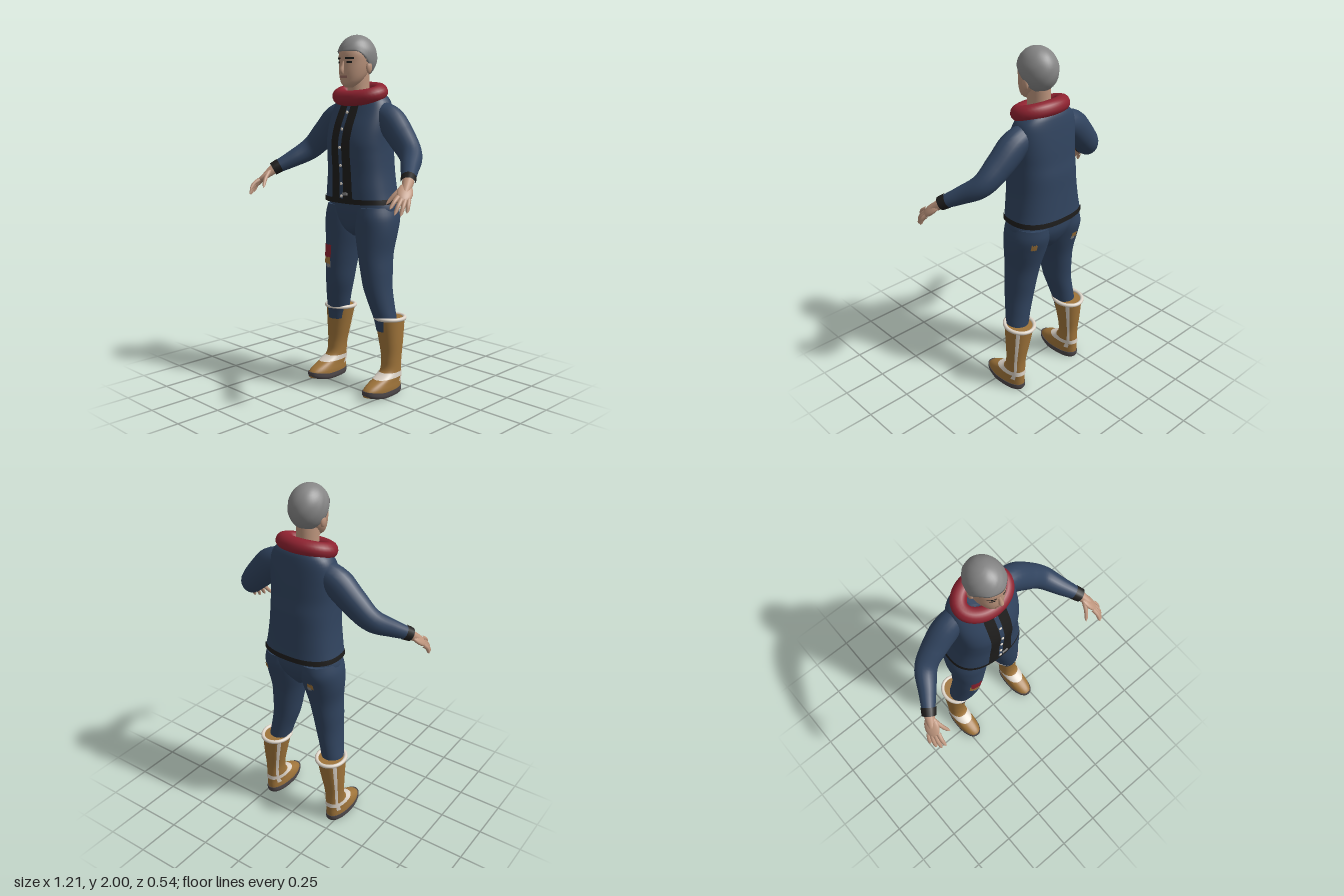
import * as THREE from 'three';

const paint = (name, color) => Object.assign(new THREE.MeshStandardMaterial({ color }), { name });
const V = (x, y, z) => new THREE.Vector3(x, y, z);
const PI = Math.PI;

// Smoothly interpolated section [y, centreX, halfWidth, zFront, zBack] at height y
function section(rings, y) {
  let i = 0;
  while (i < rings.length - 2 && y > rings[i + 1][0]) i++;
  const a = rings[i], b = rings[i + 1], h = b[0] - a[0];
  const t = Math.min(1, Math.max(0, (y - a[0]) / h));
  const p = rings[i - 1] || a, n = rings[i + 2] || b;
  return [1, 2, 3, 4].map(k => {
    const m0 = (b[k] - p[k]) / (b[0] - p[0]) * h, m1 = (n[k] - a[k]) / (n[0] - a[0]) * h;
    const t2 = t * t, t3 = t2 * t;
    return (2 * t3 - 3 * t2 + 1) * a[k] + (t3 - 2 * t2 + t) * m0 + (3 * t2 - 2 * t3) * b[k] + (t3 - t2) * m1;
  });
}

// Skin over the sections, or a patch of it; angle 0 faces front, PI/2 faces +x
function skin(rings, { y0 = rings[0][0], y1 = rings[rings.length - 1][0], a0 = -PI, a1 = PI,
  off = 0, rows = 28, cols = 40, p = 1, wave = 0 } = {}) {
  const pos = [], idx = [], full = a1 - a0 > 6.28;
  const bend = v => Math.sign(v) * Math.abs(v) ** p;
  const n = full ? cols : cols + 1;
  for (let i = 0; i <= rows; i++) for (let j = 0; j < n; j++) {
    const a = a0 + (a1 - a0) * j / cols;
    const y = y0 + (y1 - y0) * i / rows + wave * Math.sin(j * 2.3);
    const [cx, rx, zf, zb] = section(rings, y);
    pos.push(cx + (rx + off) * bend(Math.sin(a)), y, (zf + zb) / 2 + ((zf - zb) / 2 + off) * bend(Math.cos(a)));
  }
  for (let i = 0; i < rows; i++) for (let j = 0; j < cols; j++) {
    const a = i * n + j, b = i * n + (j + 1) % n;
    idx.push(a, b, b + n, a, b + n, a + n);
  }
  if (full && !off) for (const r of [0, rows]) {            // end caps
    const s = pos.length / 3, c = V(0, 0, 0);
    for (let j = 0; j < n; j++) {
      const v = V().fromArray(pos, (r * n + j) * 3);
      c.addScaledVector(v, 1 / n);
      pos.push(v.x, v.y, v.z);
    }
    pos.push(c.x, c.y, c.z);
    for (let j = 0; j < n; j++) {
      const k = s + (j + 1) % n;
      r ? idx.push(s + n, s + j, k) : idx.push(s + n, k, s + j);
    }
  }
  const g = new THREE.BufferGeometry();
  g.setAttribute('position', new THREE.Float32BufferAttribute(pos, 3));
  g.setIndex(idx);
  g.computeVertexNormals();
  return g;
}

// Tube along points with a radius for each point
function limb(points, radii, { seg = 24, sides = 16, sz = 1 } = {}) {
  const path = new THREE.CatmullRomCurve3(points.map(q => V(...q)));
  const g = new THREE.TubeGeometry(path, seg, 1, sides), pos = g.attributes.position, v = V();
  for (let i = 0; i <= seg; i++) {
    const f = i / seg * (radii.length - 1), k = Math.min(radii.length - 2, Math.floor(f));
    const r = radii[k] + (radii[k + 1] - radii[k]) * (f - k), c = path.getPointAt(i / seg);
    for (let j = i * (sides + 1); j < (i + 1) * (sides + 1); j++) {
      v.fromBufferAttribute(pos, j).sub(c).multiplyScalar(r);
      pos.setXYZ(j, c.x + v.x, c.y + v.y, c.z + v.z * sz);
    }
  }
  return g;
}

// Closed round ring, tilted from front to back
function hoop(cx, cy, cz, rx, rz, r, tilt) {
  const pts = [];
  for (let i = 0; i < 24; i++) {
    const a = i * PI / 12;
    pts.push(V(cx + rx * Math.sin(a), cy - tilt * Math.cos(a), cz + rz * Math.cos(a)));
  }
  return new THREE.TubeGeometry(new THREE.CatmullRomCurve3(pts, true), 48, r, 14, true);
}

function ball(x, y, z, sx, sy, sz) {
  return new THREE.SphereGeometry(1, 20, 14).scale(sx, sy, sz).translate(x, y, z);
}

function mirror(g) {
  const m = g.clone().scale(-1, 1, 1), ix = m.index.array;
  for (let i = 0; i < ix.length; i += 3) [ix[i], ix[i + 1]] = [ix[i + 1], ix[i]];
  return m;
}

export function createModel() {
  const navy = paint('navy cloth', 0x30435e), trim = paint('black trim', 0x1e1d1c), red = paint('red wool', 0x8e2230);
  const flesh = paint('skin', 0xbd957d), grey = paint('grey hair', 0x858585), tan = paint('tan leather', 0x9f743a);
  const fur = paint('cream fur', 0xdcd3c7), rubber = paint('sole rubber', 0x4c4648), lip = paint('lips', 0x9a6c60);
  grey.side = THREE.DoubleSide;
  const model = new THREE.Group();
  const add = (name, g, m) => { const o = new THREE.Mesh(g, m); o.name = name; model.add(o); };
  const pair = (name, g, m) => { add(name + 'Left', g, m); add(name + 'Right', mirror(g), m); };

  // Jacket body with hem, front panels and buttons
  const coat = [[1.085, 0, .222, .055, -.268], [1.15, 0, .21, .058, -.262], [1.25, 0, .197, .06, -.255],
    [1.35, 0, .192, .068, -.25], [1.42, 0, .192, .069, -.24], [1.5, 0, .195, .048, -.232],
    [1.58, 0, .192, .012, -.222], [1.64, 0, .175, -.015, -.212], [1.68, 0, .135, -.03, -.2], [1.7, 0, .09, -.04, -.18]];
  add('jacket', skin(coat, { p: .82, rows: 40, cols: 56 }), navy);
  add('jacketHem', skin(coat, { y0: 1.08, y1: 1.108, off: .005, p: .82, rows: 2, cols: 56 }), trim);
  pair('frontPanel', skin(coat, { y0: 1.09, y1: 1.62, a0: .035, a1: .29, off: .004, p: .82, cols: 6 }), trim);
  for (const y of [1.12, 1.19, 1.29, 1.39, 1.49, 1.58])
    add('button', ball(0, y, section(coat, y)[2] + .004, .009, .009, .005), fur);
  add('buckle', new THREE.BoxGeometry(.035, .015, .008).translate(.03, 1.135, .063), grey);

  // Arms with dark cuffs
  pair('sleeve', limb([[.12, 1.57, -.11], [.2, 1.54, -.11], [.3, 1.448, -.098], [.39, 1.36, -.07],
    [.46, 1.295, .02], [.52, 1.245, .1]], [.075, .087, .079, .066, .051, .036], { sz: .82, sides: 20 }), navy);
  pair('sleeveCuff', limb([[.503, 1.26, .077], [.515, 1.249, .094], [.527, 1.238, .11]], [.041, .04, .038], { seg: 4 }), trim);

  // Hands: flat palm, four fingers and a thumb
  const along = V(.045, -.08, .09).normalize(), flat = V().crossVectors(along, V(-.06, .02, .075)).normalize();
  const across = V().crossVectors(flat, along), palm = V(.549, 1.195, .157);
  pair('palm', ball(0, 0, 0, .041, .017, .066).applyMatrix4(
    new THREE.Matrix4().makeBasis(across, flat, along).setPosition(palm)), flesh);
  pair('wrist', limb([[.518, 1.247, .097], [.532, 1.225, .123], [.55, 1.195, .158]], [.031, .026, .018], { seg: 8 }), flesh);
  const digits = [[.028, .04, .548, 1.125, .267], [.009, .048, .568, 1.097, .256], [-.01, .045, .587, 1.091, .233],
    [-.027, .035, .6, 1.103, .199], [.02, -.035, .482, 1.138, .222]];
  for (const [s, l, x, y, z] of digits) {
    const b = palm.clone().addScaledVector(across, s).addScaledVector(along, l), tip = V(x, y, z);
    const mid = b.clone().lerp(tip, .5).add(V(.004, .006, .003));
    pair('finger', limb([b.toArray(), mid.toArray(), tip.toArray()], [.013, .0125, .0118, .011, .0105, .009, .001],
      { seg: 12, sides: 10 }), flesh);
  }

  // Trousers: hips and bowed legs
  const hips = [[.885, 0, .03, -.04, -.17], [.92, 0, .09, 0, -.2], [.97, 0, .185, .02, -.23],
    [1.03, 0, .224, .03, -.25], [1.12, 0, .205, .035, -.25]];
  add('hips', skin(hips), navy);
  const leg = [[.36, .195, .056, -.045, -.165], [.42, .189, .063, -.035, -.168], [.5, .173, .067, -.012, -.167],
    [.6, .152, .077, .01, -.167], [.7, .14, .085, .021, -.178], [.8, .128, .095, .026, -.193],
    [.92, .12, .117, .027, -.225], [1, .118, .117, .028, -.247], [1.06, .11, .108, .022, -.245]];
  pair('trouserLeg', skin(leg, { rows: 36 }), navy);

  // Sewn patches
  const rightLeg = leg.map(([y, x, ...r]) => [y, -x, ...r]);
  const patch = (name, rings, y0, y1, a0, a1, m, off = .004) =>
    add(name, skin(rings, { y0, y1, a0, a1, off, rows: 6, cols: 8, wave: .005 }), m);
  patch('kneePatchGrey', rightLeg, .69, .73, -.3, .13, grey, .003);
  patch('kneePatchTan', rightLeg, .71, .77, -.6, .08, tan);
  patch('kneePatchRed', rightLeg, .75, .825, -.52, .13, red, .006);
  patch('seatPatchLeft', leg, .95, .985, PI - .62, PI - .35, tan);
  patch('seatPatchRight', rightLeg, .92, .955, PI - .1, PI + .2, tan);
  patch('seatPatchRightGrey', rightLeg, .91, .93, PI - .14, PI + .08, grey, .005);

  // Boots with soles and fur trim
  const boot = [[.02, .222, .057, .1, -.178], [.05, .222, .058, .1, -.18], [.075, .222, .055, .068, -.18],
    [.1, .222, .053, .01, -.18], [.13, .22, .051, -.045, -.178], [.2, .218, .053, -.062, -.18],
    [.3, .21, .065, -.057, -.195], [.43, .197, .08, -.042, -.213]];
  pair('boot', skin(boot, { rows: 40, p: .9 }), tan);
  const sole = skin([[0, .222, .056, .094, -.176], [.012, .222, .061, .103, -.181], [.034, .222, .06, .105, -.182]],
    { rows: 6, p: .85 });
  const sp = sole.attributes.position;
  for (let i = 0; i < sp.count; i++) sp.setY(i, sp.getY(i) + .2 * Math.max(0, sp.getZ(i)));
  sole.computeVertexNormals();
  pair('sole', sole, rubber);
  pair('bootCuff', hoop(.197, .43, -.129, .08, .09, .011, -.004), fur);
  pair('ankleTrim', skin(boot, { y0: .1, y1: .128, off: .004, rows: 4, p: .9 }), fur);
  for (const a of [PI - .85, PI + .85])
    pair('bootStripe', skin(boot, { y0: .07, y1: .43, a0: a - .15, a1: a + .15, off: .004, cols: 6, p: .9 }), fur);

  // Neck and rolled scarf
  add('neck', skin([[1.6, 0, .065, -.01, -.15], [1.68, 0, .058, -.01, -.14], [1.8, 0, .058, -.005, -.14]]), flesh);
  add('scarf', hoop(0, 1.68, -.085, .132, .086, .043, .024), red);

  // Head with face
  const head = [[1.715, 0, .018, .02, -.03], [1.73, 0, .042, .038, -.05], [1.76, 0, .064, .044, -.085],
    [1.8, 0, .078, .048, -.12], [1.85, 0, .086, .046, -.14], [1.9, 0, .086, .046, -.15],
    [1.95, 0, .07, .025, -.14], [1.98, 0, .04, -.01, -.11]];
  add('head', skin(head), flesh);
  pair('ear', ball(.088, 1.822, -.066, .012, .032, .02), flesh);
  add('nose', limb([[0, 1.858, .04], [0, 1.83, .05], [0, 1.803, .058], [0, 1.79, .05]], [.006, .009, .014, .006], { seg: 12 }), flesh);
  pair('eyebrow', skin(head, { y0: 1.866, y1: 1.876, a0: .2, a1: .75, off: .003, rows: 2, cols: 8 }), trim);
  pair('eye', skin(head, { y0: 1.845, y1: 1.855, a0: .28, a1: .62, off: .002, rows: 2, cols: 8 }), trim);
  add('mouth', skin(head, { y0: 1.766, y1: 1.778, a0: -.38, a1: .38, off: .002, rows: 2, cols: 8 }), lip);

  // Short hair: a dome whose lower edge dips from the brow to the nape
  const hair = new THREE.SphereGeometry(1, 48, 20), hp = hair.attributes.position;
  for (let i = 0; i < hp.count; i++) {
    const row = Math.floor(i / 49), a = (i % 49) / 48 * 2 * PI, back = (1 - Math.cos(a)) / 2;
    const edge = 1.33 + 1.2 * THREE.MathUtils.smoothstep(back, .12, .85);
    const t = edge * Math.min(1, row / 19), s = row === 20 ? .8 : 1 + .014 * Math.sin(a * 7 + row) * Math.sin(row * .4);
    hp.setXYZ(i, .102 * s * Math.sin(t) * Math.sin(a), 1.88 + .12 * Math.cos(t), -.064 + .118 * s * Math.sin(t) * Math.cos(a));
  }
  hair.computeVertexNormals();
  add('hair', hair, grey);
  return model;
}
